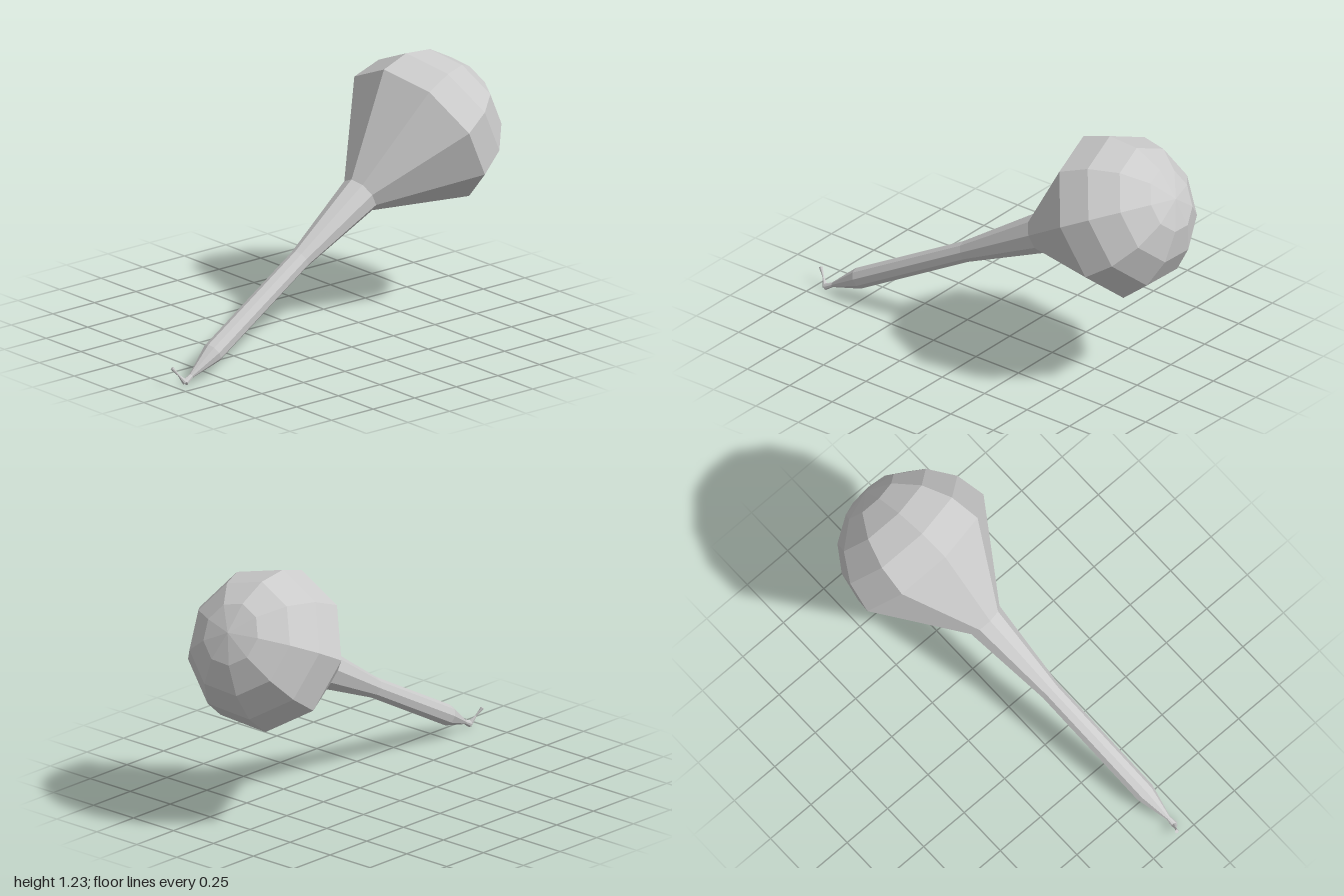
import * as THREE from 'three';

const SIDES = 9;
const R = 0.39;

// Faceted solid of revolution from [radius, height] pairs, listed bottom to top
function facetedLathe(name, profile, sides, material) {
  const points = profile.map(([r, y]) => new THREE.Vector2(r, y));
  const mesh = new THREE.Mesh(new THREE.LatheGeometry(points, sides), material);
  mesh.name = name;
  return mesh;
}

export function createModel() {
  const material = new THREE.MeshStandardMaterial({ color: 0xcccccc, flatShading: true });
  const model = new THREE.Group();
  model.name = 'bulbHeadedClub';

  // Leaning body frame: origin at the widest ring, local y runs from tip to crown
  const centre = new THREE.Vector3(0, 0.851, -0.605);
  const tip = new THREE.Vector3(0.18, 0.018, 0.943);
  const axis = centre.clone().sub(tip);
  const length = axis.length();
  axis.normalize();
  const side = new THREE.Vector3().crossVectors(axis, new THREE.Vector3(-0.02, 0.349, 0.175)).normalize();
  const radial = new THREE.Vector3().crossVectors(side, axis);
  const body = new THREE.Group();
  body.name = 'body';
  body.position.copy(centre);
  body.quaternion.setFromRotationMatrix(new THREE.Matrix4().makeBasis(side, axis, radial));
  model.add(body);

  // Stem with a slim waist and a pinched lower end
  body.add(facetedLathe('stem', [
    [0, -length], [0.016, -length], [0.011, -length + 0.045],
    [0.05, -1.558], [0.05, -0.896], [0.095, -0.44],
  ], SIDES, material));

  // Bulb: cone up to the widest ring, then a hemispherical crown
  const bulb = [[0.095, -0.44]];
  for (let i = 0; i <= 4; i++) {
    const a = (i / 4) * Math.PI / 2;
    bulb.push([i === 4 ? 0 : R * Math.cos(a), R * Math.sin(a)]);
  }
  body.add(facetedLathe('bulb', bulb, SIDES, material));

  // Small hourglass tail bent upward from the tip
  const tailEnd = new THREE.Vector3(0.148, 0.09, 0.995);
  const tailDir = tailEnd.clone().sub(tip);
  const t = tailDir.length();
  const tail = facetedLathe('tail', [
    [0, 0], [0.014, 0], [0.004, t * 0.5], [0.009, t], [0, t],
  ], SIDES, material);
  tail.position.copy(tip);
  tail.quaternion.setFromUnitVectors(new THREE.Vector3(0, 1, 0), tailDir.normalize());
  model.add(tail);

  return model;
}
